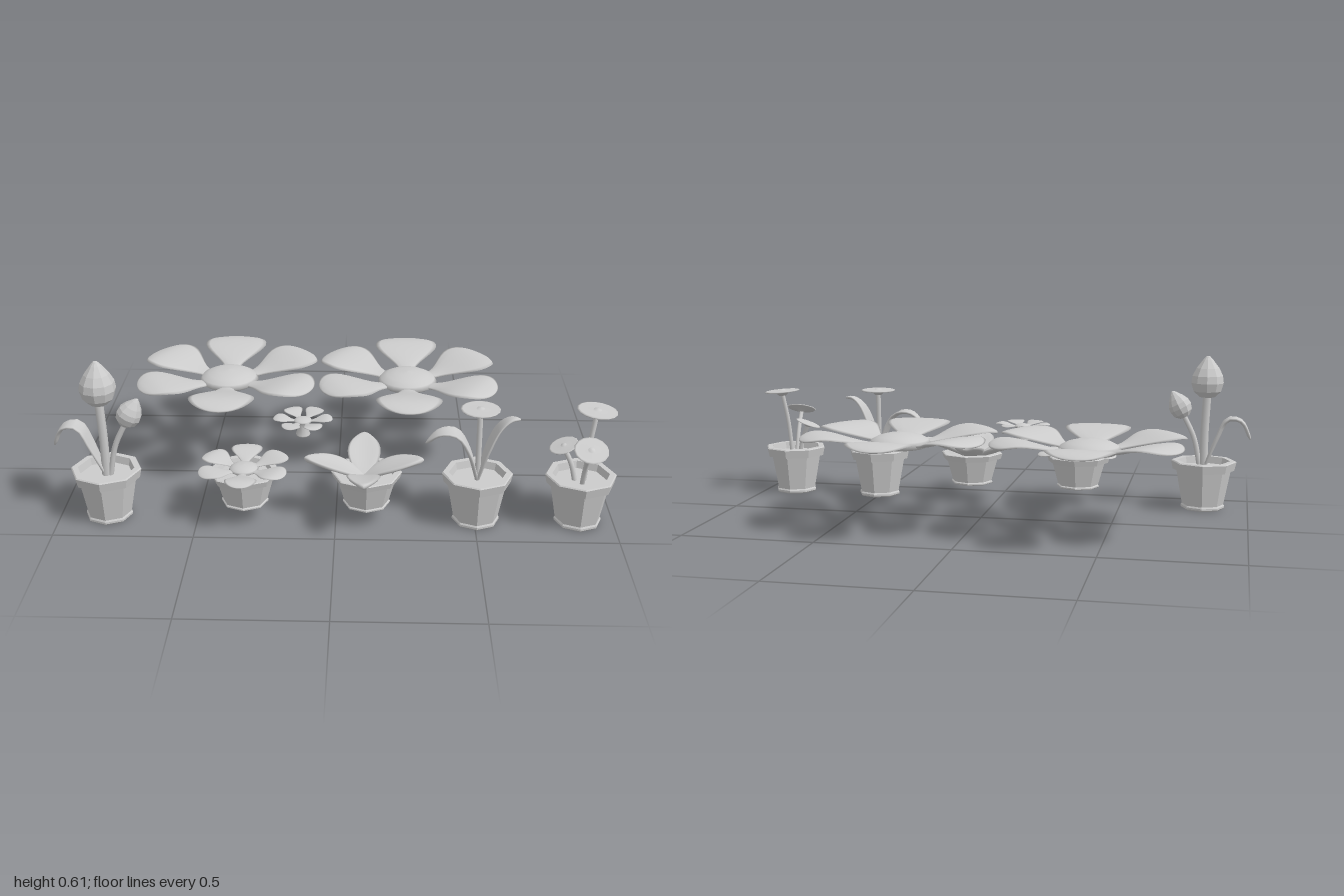
import * as THREE from 'three';

const smooth = new THREE.MeshStandardMaterial({ color: 0xcccccc, side: THREE.DoubleSide });
const faceted = new THREE.MeshStandardMaterial({ color: 0xcccccc, side: THREE.DoubleSide, flatShading: true });
const v2 = (p) => p.map(([x, y]) => new THREE.Vector2(x, y));

function add(parent, name, geometry, material = smooth) {
  const mesh = new THREE.Mesh(geometry, material);
  mesh.name = name;
  parent.add(mesh);
  return mesh;
}

function group(parent, name, x, y, z) {
  const g = new THREE.Group();
  g.name = name;
  g.position.set(x, y, z);
  parent.add(g);
  return g;
}

// Lens-shaped blade swept along a path in the xy plane; halfWidth(t) runs along z
function blade(path, halfWidth, thick, cup = 0, steps = 18, sides = 12) {
  const curve = new THREE.CatmullRomCurve3(path.map(([x, y]) => new THREE.Vector3(x, y, 0)));
  const pos = [], idx = [];
  for (let i = 0; i <= steps; i++) {
    const t = Math.sin((i / steps) * Math.PI / 2);
    const p = curve.getPointAt(t), d = curve.getTangentAt(t);
    const w = halfWidth(t), h = i === steps ? 0 : thick * Math.min(1, (1 - t) * 12 + 0.4);
    for (let j = 0; j < sides; j++) {
      const a = (j / sides) * Math.PI * 2, c = Math.cos(a);
      const n = Math.sin(a) * h + cup * w * c * c;
      pos.push(p.x - d.y * n, p.y + d.x * n, c * w);
      if (i < steps) {
        const k = (j + 1) % sides, r = i * sides, s = r + sides;
        idx.push(r + j, s + j, r + k, r + k, s + j, s + k);
      }
    }
  }
  const g = new THREE.BufferGeometry();
  g.setAttribute('position', new THREE.Float32BufferAttribute(pos, 3));
  g.setIndex(idx);
  g.computeVertexNormals();
  return g;
}

// Narrow at the root, broad and round at the tip
const petalWidth = (t) => {
  const root = 0.028 + 0.096 * THREE.MathUtils.smoothstep(t, 0.12, 0.68);
  return t < 0.68 ? root : 0.124 * Math.sqrt(Math.max(0, 1 - ((t - 0.68) / 0.32) ** 2));
};
const leafWidth = (max, root = 0.2) => (t) =>
  max * (t < 0.5 ? root + (1 - root) * Math.sin(t * Math.PI) : Math.sqrt(Math.max(0, Math.sin(t * Math.PI))) ** 1.4);

// Six-petalled open flower
function openFlower(parent, name, x, y, z, scale, turn = 0) {
  const f = group(parent, name, x, y, z);
  f.scale.setScalar(scale);
  add(f, 'flowerCentre', new THREE.LatheGeometry(v2([[0, 0], [0.095, 0], [0.115, 0.015], [0.105, 0.03],
    [0.08, 0.043], [0.045, 0.052], [0, 0.055]]), 24));
  const petal = blade([[0.06, 0.01], [0.13, 0.02], [0.25, 0.051], [0.31, 0.056], [0.372, 0.042]], petalWidth, 0.008);
  for (let i = 0; i < 6; i++) {
    add(f, 'petal', petal).rotation.y = turn + Math.PI / 2 + i * Math.PI / 3;
  }
  return f;
}

// Octagonal pot with a heavy rim, filled with soil
function pot(parent, name, x, y) {
  const p = group(parent, name, x, y, 0.345);
  const shell = add(p, 'pot', new THREE.LatheGeometry(v2([[0, 0], [0.08, 0], [0.085, 0.005], [0.085, 0.012], [0.081, 0.018],
    [0.106, 0.153], [0.12, 0.155], [0.127, 0.188], [0.123, 0.192], [0.102, 0.192], [0.096, 0.165], [0, 0.165]]), 8), faceted);
  shell.scale.y = (0.192 - y) / 0.192;
  return p;
}

function stem(parent, points, radius) {
  const curve = new THREE.CatmullRomCurve3(points.map((p) => new THREE.Vector3(...p)));
  add(parent, 'stem', new THREE.TubeGeometry(curve, 10, radius, 8));
}

function bud(parent, x, y, z, scale, tilt) {
  const b = add(parent, 'bud', new THREE.LatheGeometry(v2([[0, 0], [0.03, 0.004], [0.055, 0.027], [0.065, 0.06],
    [0.061, 0.088], [0.045, 0.118], [0.02, 0.15], [0.008, 0.163], [0, 0.165]]), 10), faceted);
  b.position.set(x, y, z);
  b.rotation.z = tilt;
  b.scale.setScalar(scale);
}

// Shallow round blossom on a stem
function discFlower(parent, x, y, z, radius, tiltX = 0, tiltZ = 0) {
  const f = add(parent, 'roundBlossom', new THREE.LatheGeometry(v2([[0, -0.3], [0.2, -0.28], [0.35, -0.13], [0.95, -0.06],
    [1, 0], [0.9, 0.03], [0.22, 0], [0.18, 0.07], [0, 0.1]]), 16));
  f.position.set(x, y, z);
  f.rotation.set(tiltX, 0, tiltZ);
  f.scale.setScalar(radius);
}

export function createModel() {
  const model = new THREE.Group();
  model.name = 'flowerSet';

  // Large and small loose flowers
  openFlower(model, 'largeFlower', -0.435, 0.297, -0.19, 1);
  openFlower(model, 'largeFlower', 0.265, 0.297, -0.19, 1);
  const small = openFlower(model, 'smallFlower', -0.123, 0.321, 0.215, 0.29, Math.PI / 6);
  add(small, 'flowerBase', new THREE.LatheGeometry(v2([[0, -0.18], [0.085, -0.18], [0.09, -0.165], [0.06, -0.06], [0.085, 0.005]]), 12));

  // Pot with two buds and an arching leaf
  const budPot = pot(model, 'budPot', -0.825, 0);
  stem(budPot, [[0, 0.16, 0], [0, 0.3, 0], [-0.006, 0.45, 0]], 0.016);
  bud(budPot, -0.006, 0.44, 0, 1, 0);
  stem(budPot, [[0.015, 0.16, 0], [0.04, 0.28, 0], [0.085, 0.375, 0]], 0.01);
  bud(budPot, 0.075, 0.362, 0, 0.7, -0.5);
  const budLeaf = add(budPot, 'archingLeaf', blade([[0.0, 0.16], [0.05, 0.28], [0.09, 0.355], [0.14, 0.35], [0.178, 0.28]],
    leafWidth(0.043), 0.007, 0.15));
  budLeaf.rotation.y = Math.PI;

  // Pot with an open flower
  const flowerPot = pot(model, 'openFlowerPot', -0.328, 0.065);
  openFlower(flowerPot, 'pottedFlower', -0.002, 0.118, -0.008, 0.46);

  // Pot with four spreading leaves
  const leafPot = pot(model, 'leafPot', 0.11, 0.065);
  const broad = blade([[0, 0.1], [0.06, 0.128], [0.14, 0.155], [0.213, 0.175]], leafWidth(0.06, 0.35), 0.011, 0.25);
  for (let i = 0; i < 4; i++) {
    const leaf = add(leafPot, 'spreadingLeaf', broad);
    leaf.position.x = -0.01;
    leaf.rotation.y = i * Math.PI / 2;
  }

  // Pot with one round blossom between two arching leaves
  const archPot = pot(model, 'archingLeafPot', 0.505, 0);
  stem(archPot, [[0, 0.16, 0], [0, 0.3, 0], [0, 0.425, -0.005]], 0.01);
  discFlower(archPot, 0, 0.438, -0.005, 0.07);
  add(archPot, 'archingLeaf', blade([[0.0, 0.16], [0.035, 0.28], [0.075, 0.37], [0.11, 0.4], [0.142, 0.402]],
    leafWidth(0.048), 0.007, 0.15));
  add(archPot, 'archingLeaf', blade([[0.0, 0.16], [0.035, 0.27], [0.08, 0.34], [0.135, 0.345], [0.188, 0.305]],
    leafWidth(0.048), 0.007, 0.15)).rotation.y = Math.PI;

  // Pot with three round blossoms at different heights
  const trioPot = pot(model, 'blossomPot', 0.872, 0);
  const blossoms = [
    [0.043, 0.427, -0.03, 0.072, 0, -0.08],
    [0.008, 0.337, 0.105, 0.06, 0.42, 0],
    [-0.066, 0.293, -0.022, 0.053, 0.1, 0.35],
  ];
  for (const [x, y, z, r, tiltX, tiltZ] of blossoms) {
    stem(trioPot, [[x * 0.3, 0.16, z * 0.2], [x * 0.55, (y + 0.16) / 2, z * 0.5], [x, y - 0.006, z]], 0.009);
    discFlower(trioPot, x, y, z, r, tiltX, tiltZ);
  }
  return model;
}
